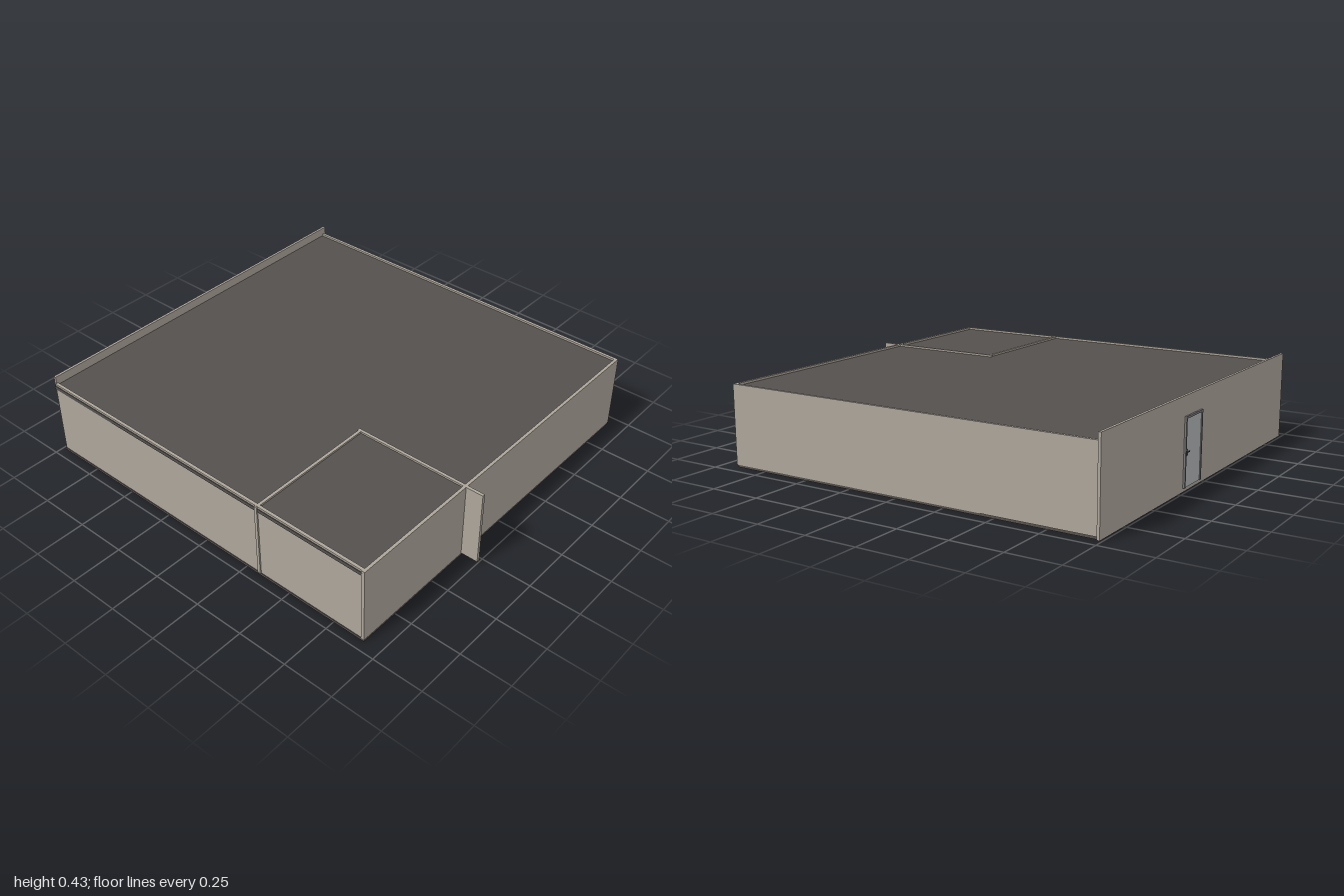
import * as THREE from 'three';

const wallMat = new THREE.MeshStandardMaterial({ color: 0xada59a });
const slabMat = new THREE.MeshStandardMaterial({ color: 0x54504d });
const frameMat = new THREE.MeshStandardMaterial({ color: 0x77777a });
const doorMat = new THREE.MeshStandardMaterial({ color: 0xb4b6ba });
const metalMat = new THREE.MeshStandardMaterial({ color: 0x444444 });

// Box given by its lower and upper limits on each axis
function block(name, mat, [x0, x1], [y0, y1], [z0, z1]) {
  const mesh = new THREE.Mesh(new THREE.BoxGeometry(x1 - x0, y1 - y0, z1 - z0), mat);
  mesh.position.set((x0 + x1) / 2, (y0 + y1) / 2, (z0 + z1) / 2);
  mesh.name = name;
  return mesh;
}

// Framed panel door with a lever handle, on the outside of the back wall
function createDoor() {
  const door = new THREE.Group();
  door.name = 'door';
  const [x0, x1, y0, y1] = [0.042, 0.212, 0.02, 0.337];
  const f = 0.01;
  const z = [-1, -0.988];
  door.add(
    block('doorFrameSide', frameMat, [x0, x0 + f], [y0, y1], z),
    block('doorFrameSide', frameMat, [x1 - f, x1], [y0, y1], z),
    block('doorFrameTop', frameMat, [x0 + f, x1 - f], [y1 - f, y1], z),
    block('doorLeaf', doorMat, [x0 + f, x1 - f], [y0, y1 - f], [-0.996, -0.988]),
    block('handlePlate', metalMat, [0.186, 0.194], [0.16, 0.19], [-0.998, -0.995]),
    block('handleLever', metalMat, [0.168, 0.194], [0.174, 0.179], [-1, -0.997])
  );
  return door;
}

export function createModel() {
  const model = new THREE.Group();
  model.name = 'building';
  const h = [0.012, 0.393];

  // Floor and roof slabs, showing slightly past the right-hand wall
  model.add(
    block('floor', slabMat, [-0.953, 0.941], [0, 0.012], [-0.982, 0.914]),
    block('roof', slabMat, [-0.953, 0.935], [0.365, 0.383], [-0.982, 0.91])
  );

  // Outer walls; the back wall is taller
  model.add(
    block('sideWall', wallMat, [-0.95, -0.935], h, [-0.978, 0.9]),
    block('sideWall', wallMat, [0.93, 0.945], h, [-0.978, 0.914]),
    block('frontWall', wallMat, [-0.953, 0.93], h, [0.899, 0.914]),
    block('backWall', wallMat, [-0.944, 0.955], [0.002, 0.428], [-0.991, -0.978])
  );

  // Partition walls of the corner room, running out past the outer walls
  model.add(
    block('partitionAcross', wallMat, [-0.957, -0.29], [0.012, 0.392], [0.32, 0.335]),
    block('partitionAlong', wallMat, [-0.29, -0.275], [0.012, 0.392], [0.315, 1])
  );

  model.add(createDoor());
  return model;
}
